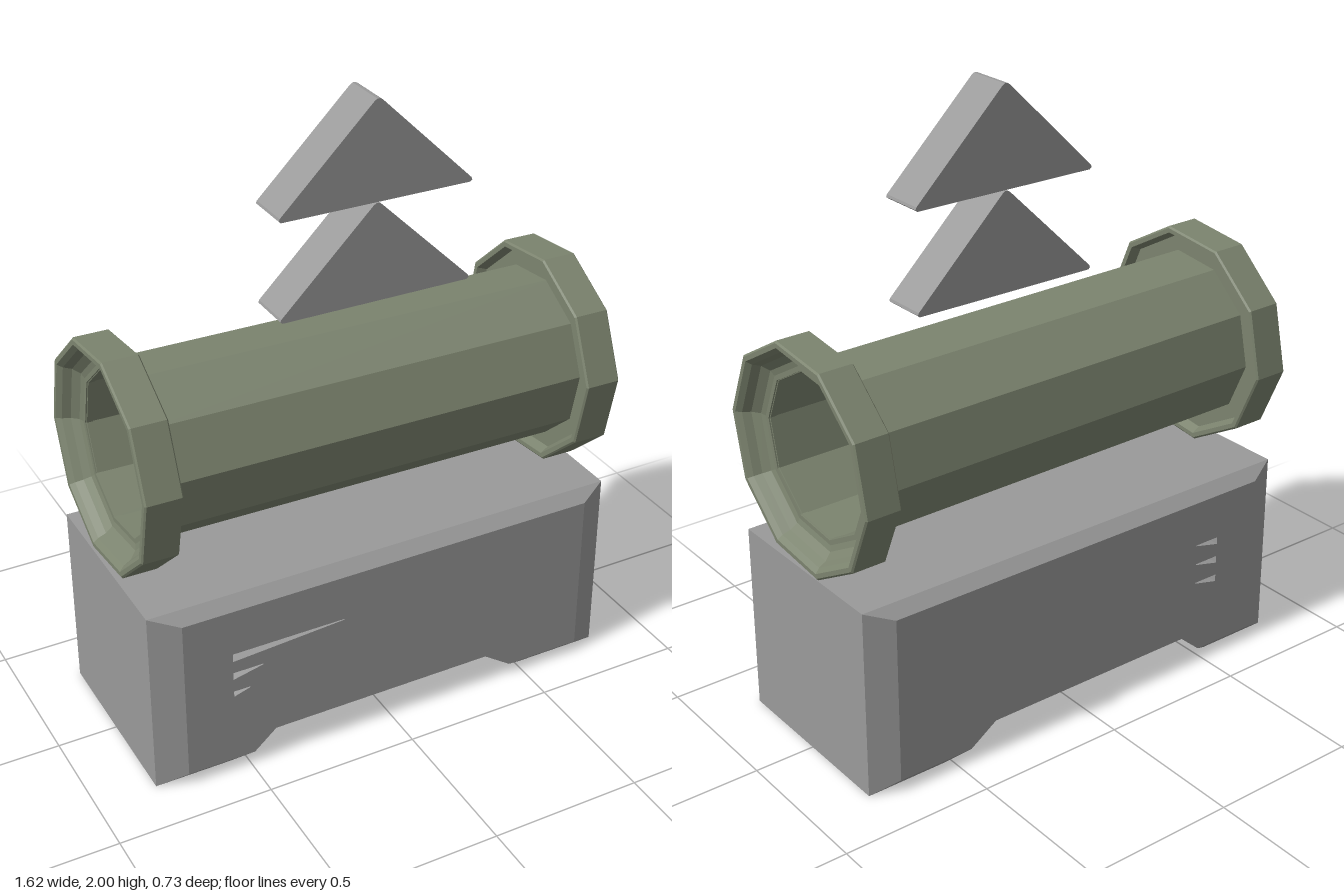
import * as THREE from 'three';

const stone = new THREE.MeshStandardMaterial({ color: 0x9a9a9a, flatShading: true });
stone.name = 'stone grey';
const olive = new THREE.MeshStandardMaterial({ color: 0x7c846f, flatShading: true });
olive.name = 'olive green';

const toShape = (pts) => new THREE.Shape(pts.map(([x, y]) => new THREE.Vector2(x, y)));

function addMesh(parent, name, geometry, material) {
  const mesh = new THREE.Mesh(geometry, material);
  mesh.name = name;
  parent.add(mesh);
  return mesh;
}

// Walls joining matching outlines along z; inward turns them to face the middle
function loft(sections, inward = false) {
  const pos = [];
  for (let i = 0; i < sections.length - 1; i++) {
    const s = sections[i], t = sections[i + 1];
    const n = s.pts.length;
    for (let j = 0; j < n; j++) {
      const k = (j + 1) % n;
      const a = [...s.pts[j], s.z], b = [...s.pts[k], s.z];
      const c = [...t.pts[k], t.z], d = [...t.pts[j], t.z];
      const tris = inward ? [a, c, b, a, d, c] : [a, b, c, a, c, d];
      pos.push(...tris.flat());
    }
  }
  const geometry = new THREE.BufferGeometry();
  geometry.setAttribute('position', new THREE.Float32BufferAttribute(pos, 3));
  geometry.computeVertexNormals();
  return geometry;
}

// Flat face with slots cut out of it
function slottedFace(pts, slots, z, facesBack) {
  const shape = toShape(pts);
  shape.holes = slots.map(toShape);
  const geometry = new THREE.ShapeGeometry(shape);
  if (facesBack) {
    geometry.index.array.reverse();
    geometry.computeVertexNormals();
  }
  return geometry.translate(0, 0, z);
}

function makeBase() {
  const base = new THREE.Group();
  base.name = 'base';
  const inner = [[-0.805, 0], [-0.55, 0], [-0.44, 0.08], [0.4, 0.08],
    [0.52, 0], [0.8, 0], [0.8, 0.63], [-0.805, 0.63]];
  const outer = [[-0.71, 0.04], [-0.485, 0.04], [-0.41, 0.105], [0.355, 0.105],
    [0.45, 0.04], [0.71, 0.04], [0.71, 0.595], [-0.71, 0.595]];

  // Block with bevelled front and back
  addMesh(base, 'baseBody', loft([
    { pts: outer, z: -0.355 }, { pts: inner, z: -0.315 },
    { pts: inner, z: 0.32 }, { pts: outer, z: 0.36 },
  ]), stone);

  // Tapered slots in both long faces
  const slot = (y, length, height) =>
    [[-0.55, y - height], [-0.55 + length, y - 0.003], [-0.55 + length, y], [-0.55, y]];
  const frontSlots = [slot(0.44, 0.38, 0.028), slot(0.37, 0.1, 0.025), slot(0.3, 0.055, 0.02)];
  const backSlots = [0.44, 0.37, 0.3].map((y) => slot(y, 0.09, 0.025));
  addMesh(base, 'baseFront', slottedFace(outer, frontSlots, 0.36, false), stone);
  addMesh(base, 'baseBack', slottedFace(outer, backSlots, -0.355, true), stone);
  for (const [slots, z0, z1] of [[frontSlots, 0.26, 0.36], [backSlots, -0.355, -0.255]]) {
    for (const pts of slots) {
      addMesh(base, 'slotWalls', loft([{ pts, z: z0 }, { pts, z: z1 }], true), stone);
    }
  }
  return base;
}

// Ten-sided ring around the x axis from closed [along, radius] points
function ring(profile) {
  const pts = [...profile, profile[0]].map(([x, r]) => new THREE.Vector2(r, x));
  const start = THREE.MathUtils.degToRad(-78);
  return new THREE.LatheGeometry(pts, 10, start).rotateZ(-Math.PI / 2);
}

function makePipe() {
  const pipe = new THREE.Group();
  pipe.name = 'pipe';
  addMesh(pipe, 'tube', ring([[-0.74, 0.28], [0.74, 0.28], [0.74, 0.26], [-0.74, 0.26]]), olive);

  // Collar with a recessed inner side and a funnel mouth
  const collar = [[0.715, 0.275], [0.715, 0.33], [0.685, 0.345], [0.685, 0.36],
    [0.69, 0.366], [0.8, 0.366], [0.805, 0.36], [0.805, 0.345],
    [0.79, 0.33], [0.765, 0.318], [0.745, 0.295], [0.735, 0.257], [0.715, 0.257]];
  addMesh(pipe, 'leftCollar', ring(collar), olive);
  addMesh(pipe, 'rightCollar', ring(collar.map(([x, r]) => [-x, r]).reverse()), olive);

  pipe.position.y = 0.997;
  pipe.rotation.z = -0.0115;
  return pipe;
}

// Upward arrowhead with slightly blunted corners
function makeArrow(y) {
  const outline = toShape([[-0.316, 0], [0.316, 0], [0.323, 0.006], [0.32, 0.014],
    [0.014, 0.314], [0.005, 0.32], [-0.005, 0.32], [-0.014, 0.314], [-0.32, 0.014], [-0.323, 0.006]]);
  const geometry = new THREE.ExtrudeGeometry(outline, { depth: 0.148, bevelEnabled: false });
  return geometry.translate(0.082, y, -0.055);
}

export function createModel() {
  const model = new THREE.Group();
  model.name = 'pipeOnBase';
  model.add(makeBase(), makePipe());
  addMesh(model, 'lowerArrow', makeArrow(1.357), stone);
  addMesh(model, 'upperArrow', makeArrow(1.68), stone);
  return model;
}
